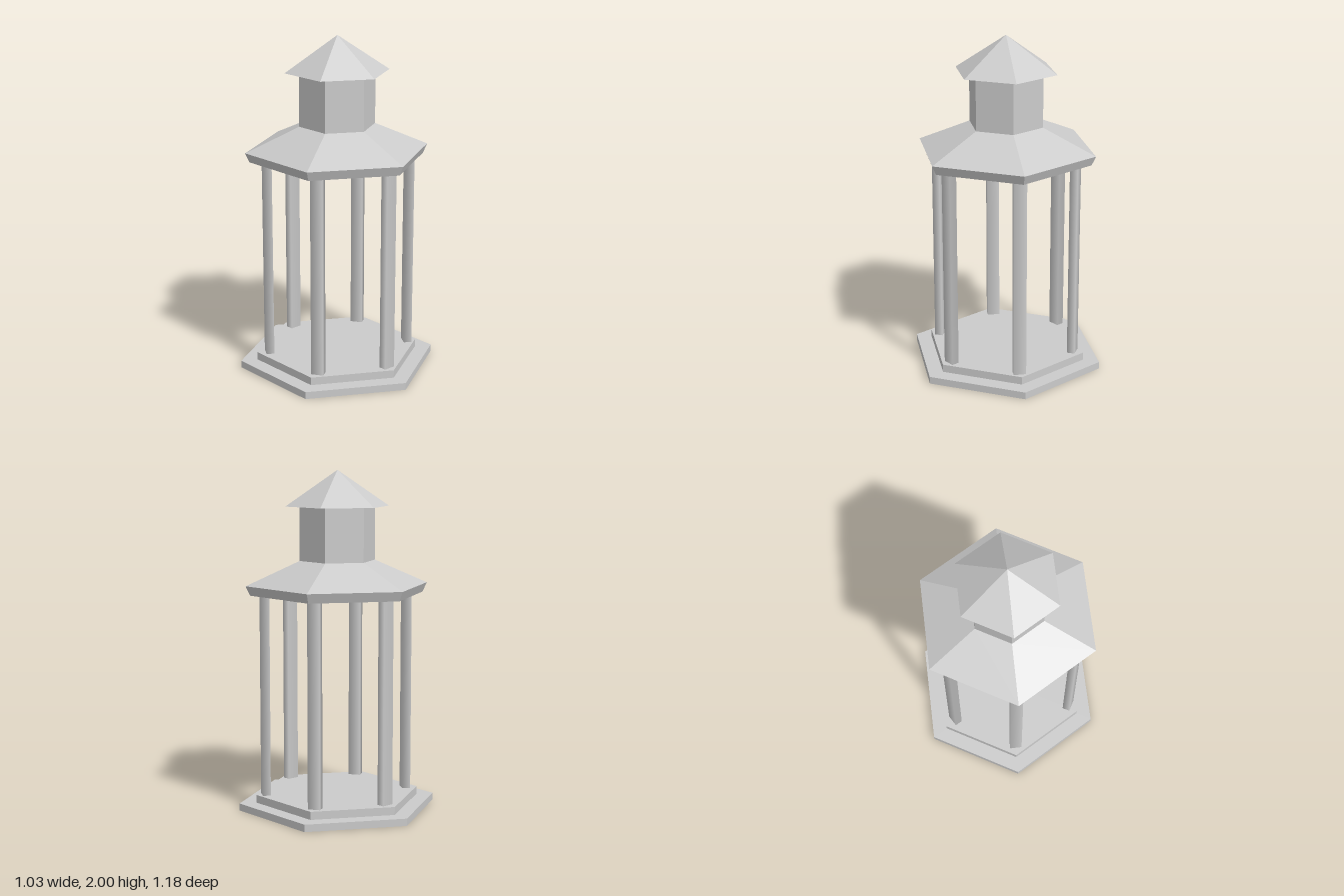
import * as THREE from 'three';

const flat = new THREE.MeshStandardMaterial({ color: 0xcccccc, flatShading: true });
const smooth = new THREE.MeshStandardMaterial({ color: 0xcccccc });

// Six-sided shell with corners on the z axis, from a [radius, height] profile running upward
function hexShell(name, profile) {
  const points = profile.map(([r, y]) => new THREE.Vector2(r, y));
  const mesh = new THREE.Mesh(new THREE.LatheGeometry(points, 6), flat);
  mesh.name = name;
  return mesh;
}

// Four-sided smooth-shaded post of the given width and depth, standing on y = 0
function columnGeometry(width, depth, height) {
  const g = new THREE.CylinderGeometry(Math.SQRT1_2, Math.SQRT1_2, height, 4, 1, true);
  g.rotateY(Math.PI / 4);
  g.scale(width, 1, depth);
  g.translate(0, height / 2, 0);
  return g;
}

export function createModel() {
  const model = new THREE.Group();
  model.name = 'gazebo';

  // Stepped floor
  model.add(hexShell('steppedBase', [
    [0, 0], [0.592, 0], [0.592, 0.043], [0.492, 0.043], [0.492, 0.09], [0, 0.09],
  ]));

  // Columns in opposite pairs near the corners, turned to face outward
  const columns = new THREE.Group();
  columns.name = 'columns';
  columns.position.set(0.004, 0.09, 0.007);
  const geometry = columnGeometry(0.073, 0.047, 1.19);
  for (const [degrees, radius] of [[0, 0.422], [60, 0.426], [121.6, 0.422]]) {
    for (const turn of [0, Math.PI]) {
      const a = THREE.MathUtils.degToRad(degrees) + turn;
      const column = new THREE.Mesh(geometry, smooth);
      column.name = 'column';
      column.position.set(Math.sin(a) * radius, 0, Math.cos(a) * radius);
      column.rotation.y = a;
      columns.add(column);
    }
  }
  model.add(columns);

  // Main roof with its ceiling and slanted eave
  model.add(hexShell('mainRoof', [[0, 1.279], [0.518, 1.279], [0.543, 1.334], [0.225, 1.475]]));

  // Cupola and its pointed cap
  model.add(hexShell('cupola', [[0.225, 1.475], [0.225, 1.791]]));
  model.add(hexShell('cupolaRoof', [[0, 1.791], [0.308, 1.791], [0, 2]]));

  return model;
}
